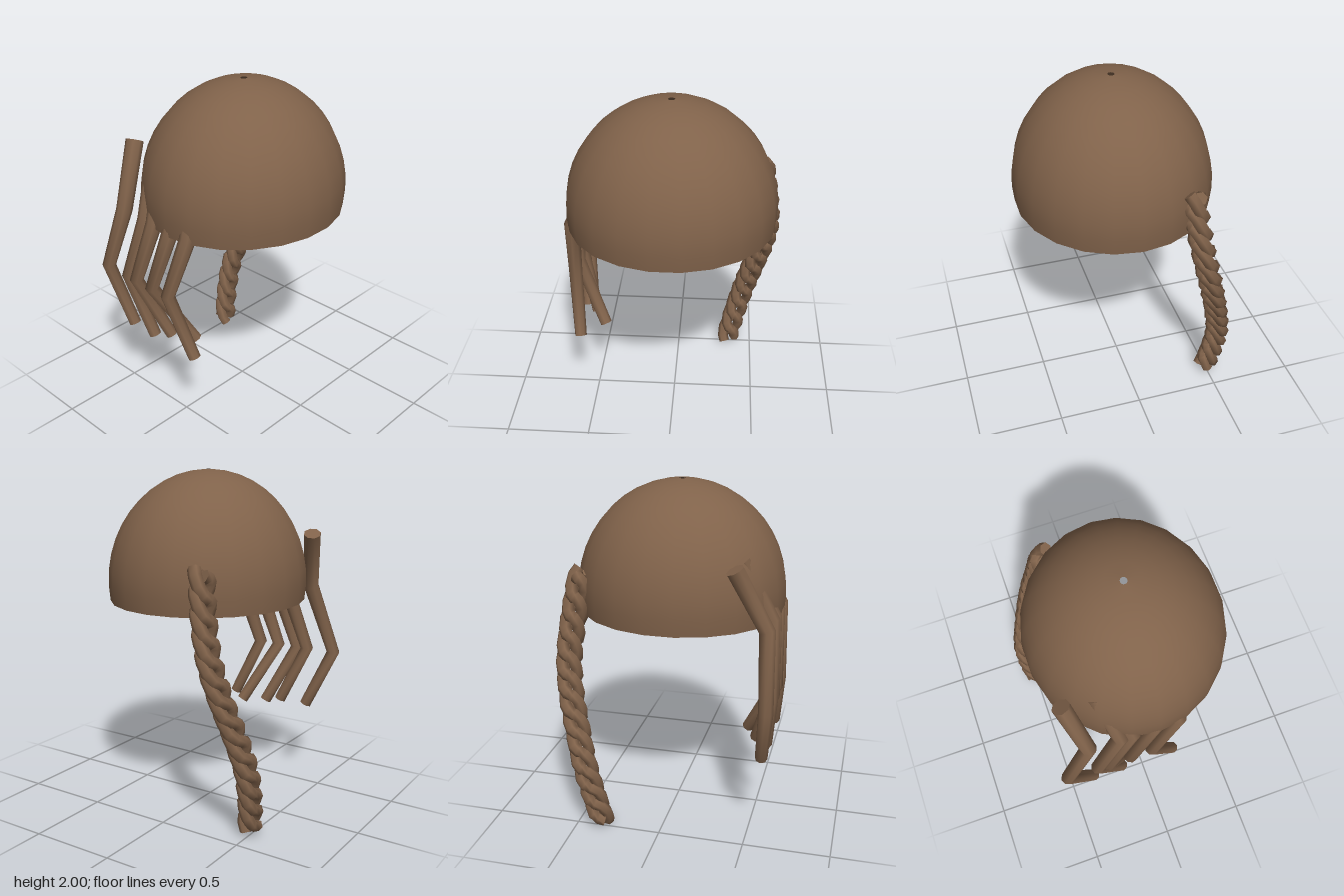
import * as THREE from 'three';

const V = (p) => new THREE.Vector3(...p);

// Capped tube through a list of points, tapering from r0 to r1.
function sweep(points, r0, r1, sides) {
  const pos = [], index = [], n = points.length;
  const tangentAt = (i) => {
    const a = points[Math.max(i - 1, 0)], b = points[i], c = points[Math.min(i + 1, n - 1)];
    const t = b.clone().sub(a).normalize().add(c.clone().sub(b).normalize());
    return t.normalize();
  };
  const ring = (i) => {
    const t = tangentAt(i), r = r0 + (r1 - r0) * i / (n - 1);
    const u = new THREE.Vector3(1, 0, 0).addScaledVector(t, -t.x).normalize();
    const w = t.clone().cross(u);
    for (let s = 0; s < sides; s++) {
      const a = s / sides * Math.PI * 2;
      const p = points[i].clone().addScaledVector(u, r * Math.cos(a)).addScaledVector(w, r * Math.sin(a));
      pos.push(p.x, p.y, p.z);
    }
  };
  for (let i = 0; i < n; i++) ring(i);
  for (let i = 0; i < n - 1; i++) {
    for (let s = 0; s < sides; s++) {
      const a = i * sides + s, b = i * sides + (s + 1) % sides;
      index.push(a, b, b + sides, a, b + sides, a + sides);
    }
  }
  // End caps with their own corners, so the rims stay sharp.
  for (const end of [0, n - 1]) {
    const base = pos.length / 3;
    ring(end);
    for (let s = 1; s < sides - 1; s++) {
      if (end === 0) index.push(base, base + s + 1, base + s);
      else index.push(base, base + s, base + s + 1);
    }
  }
  const g = new THREE.BufferGeometry();
  g.setAttribute('position', new THREE.Float32BufferAttribute(pos, 3));
  g.setIndex(index);
  g.computeVertexNormals();
  return g;
}

export function createModel() {
  const model = new THREE.Group();
  const brown = new THREE.MeshStandardMaterial({ color: 0x80624a, side: THREE.DoubleSide });
  brown.name = 'brown hair';
  const add = (name, geometry, parent = model) => {
    const mesh = new THREE.Mesh(geometry, brown);
    mesh.name = name;
    parent.add(mesh);
    return mesh;
  };

  // Open dome of hair with a tiny hole at the crown
  const profile = [];
  const bottom = Math.PI / 2 + 0.173, top = 0.033, rings = 12;
  for (let i = 0; i <= rings; i++) {
    const a = bottom + (top - bottom) * i / rings;
    profile.push(new THREE.Vector2(0.61 * Math.sin(a), 1.36 + 0.64 * Math.cos(a)));
  }
  const dome = new THREE.LatheGeometry(profile, 22, Math.PI / 2);
  dome.scale(1, 1, 0.571 / 0.61);
  dome.translate(-0.015, 0, 0.025);
  add('hairCap', dome);

  // Loose locks: knee depth and x of the tip for each
  const locks = new THREE.Group();
  locks.name = 'looseLocks';
  model.add(locks);
  [[0, -0.57], [-0.135, -0.43], [-0.27, -0.5], [-0.34, -0.57], [-0.525, -0.57]].forEach(([z, tipX], i) => {
    const path = [
      [-0.41, 1.62, z + 0.07], [-0.58, 1.27, z + 0.15],
      [-0.608, 0.86, z], [tipX, 0.5, z + 0.165],
    ].map(V).reverse();
    add('lock' + (i + 1), sweep(path, 0.036, 0.052, 8), locks);
  });

  // Braid: three strands twisted around one hanging curve
  const braid = new THREE.Group();
  braid.name = 'braid';
  model.add(braid);
  const spine = new THREE.CatmullRomCurve3([
    [0.345, 0.04, -0.495], [0.38, 0.2, -0.515], [0.43, 0.4, -0.52], [0.485, 0.62, -0.475],
    [0.535, 0.82, -0.42], [0.56, 1.02, -0.365], [0.545, 1.22, -0.32], [0.5, 1.5, -0.275],
  ].map(V));
  const steps = 44, turns = 4.5;
  for (let k = 0; k < 3; k++) {
    const path = [];
    for (let i = 0; i <= steps; i++) {
      const t = i / steps, a = (t * turns + k / 3) * Math.PI * 2;
      const p = spine.getPointAt(t);
      p.x += 0.045 * Math.cos(a);
      p.z += 0.037 * Math.sin(a);
      // Uneven height gives the strands their knotted bumps
      p.y += 0.02 * Math.sin(a * 2);
      path.push(p);
    }
    add('braidStrand' + (k + 1), sweep(path, 0.034, 0.038, 6), braid);
  }
  return model;
}
